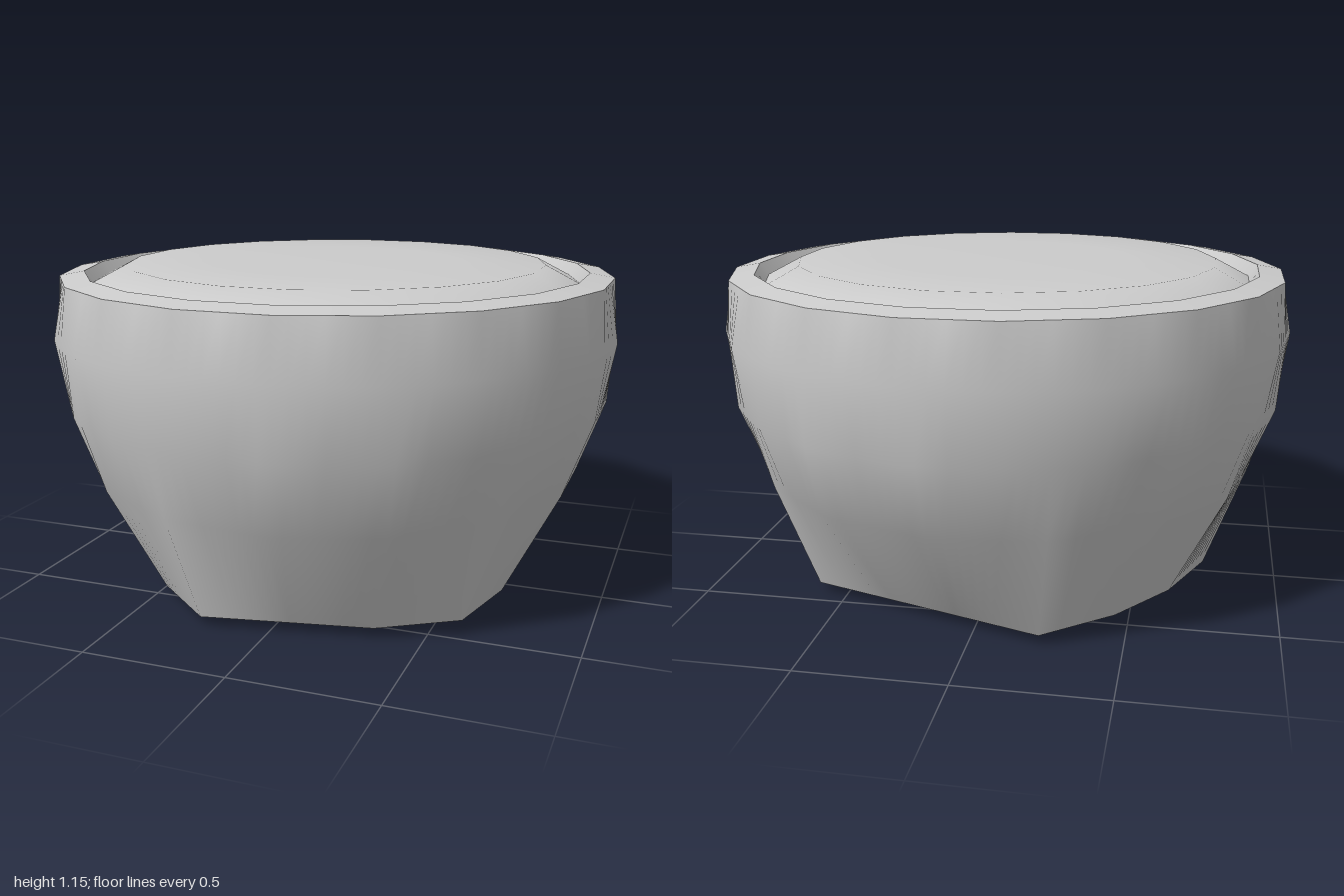
import * as THREE from 'three';

const COLS = 120; // 3 degree columns, so every ring's corners fall on a column
const material = new THREE.MeshStandardMaterial({ color: 0xcccccc, side: THREE.DoubleSide });

// Regular polygon ring: corner list of [azimuth in degrees, radius]
const ngon = (n, r, offset = 0) =>
  Array.from({ length: n }, (_, k) => [offset + (k * 360) / n, r]);

// Distance from the axis to a polygon's edge at an azimuth
function polyRadius(corners, az) {
  for (let k = 0; k < corners.length; k++) {
    const [a0, r0] = corners[k];
    const [a1, r1] = corners[(k + 1) % corners.length];
    const span = (a1 - a0 + 360) % 360;
    const t = (az - a0 + 720) % 360;
    if (t > span) continue;
    const rad = THREE.MathUtils.degToRad;
    return (r0 * r1 * Math.sin(rad(span))) /
      (r0 * Math.sin(rad(t)) + r1 * Math.sin(rad(span - t)));
  }
  return corners[0][1];
}

// Skin a stack of polygon rings, with smooth normals around and along it
function loft(name, rings) {
  const pos = [], nor = [], idx = [];
  const radius = rings.map(([corners]) =>
    Array.from({ length: COLS + 1 }, (_, j) => polyRadius(corners, (j % COLS) * 360 / COLS)));
  const last = rings.length - 1;
  for (let i = 0; i <= last; i++) {
    const lo = Math.max(i - 1, 0), hi = Math.min(i + 1, last);
    for (let j = 0; j <= COLS; j++) {
      const a = (j / COLS) * Math.PI * 2, r = radius[i][j];
      const n = new THREE.Vector2(rings[hi][1] - rings[lo][1], radius[lo][j] - radius[hi][j]).normalize();
      pos.push(r * Math.sin(a), rings[i][1], r * Math.cos(a));
      nor.push(n.x * Math.sin(a), n.y, n.x * Math.cos(a));
      if (i < last && j < COLS) {
        const p = i * (COLS + 1) + j, q = p + COLS + 1;
        idx.push(p, p + 1, q + 1, p, q + 1, q);
      }
    }
  }
  const geo = new THREE.BufferGeometry();
  geo.setAttribute('position', new THREE.Float32BufferAttribute(pos, 3));
  geo.setAttribute('normal', new THREE.Float32BufferAttribute(nor, 3));
  geo.setIndex(idx);
  const mesh = new THREE.Mesh(geo, material);
  mesh.name = name;
  return mesh;
}

export function createModel() {
  const group = new THREE.Group();
  group.name = 'bowl';

  // Foot outline: 15 steps, every fifth part pushed out, three corners cut away
  const foot = [], shoulder = [];
  for (let k = 0; k < 15; k++) {
    const az = (270 + 24 * k) % 360;
    shoulder.push([az, 0.885]);
    if (![6, 150, 174].includes(az)) foot.push([az, k % 3 === 0 ? 0.74 : 0.685]);
  }
  const scaled = (corners, s) => corners.map(([a, r]) => [a, r * s]);

  // Flared side wall
  group.add(loft('wall', [
    [foot, 0.037], [shoulder, 0.42], [ngon(20, 0.97, 9), 0.675],
    [ngon(20, 1), 0.915], [ngon(20, 0.975, 9), 1.115],
  ]));

  // Slightly rounded underside
  group.add(loft('base', [[scaled(foot, 0.001), 0], [scaled(foot, 0.5), 0.01], [foot, 0.037]]));

  // Rim top and its inner bevel
  group.add(loft('rim', [[ngon(20, 0.975, 9), 1.115], [ngon(20, 0.89, 9), 1.13]]));
  group.add(loft('innerLip', [[ngon(20, 0.89, 9), 1.13], [ngon(20, 0.86, 9), 1.09]]));

  // Raised filling inside the rim
  group.add(loft('filling', [
    [ngon(20, 0.86, 9), 1.09], [ngon(20, 0.74, 9), 1.153],
    [ngon(20, 0.4, 9), 1.155], [ngon(20, 0.001, 9), 1.155],
  ]));
  return group;
}
